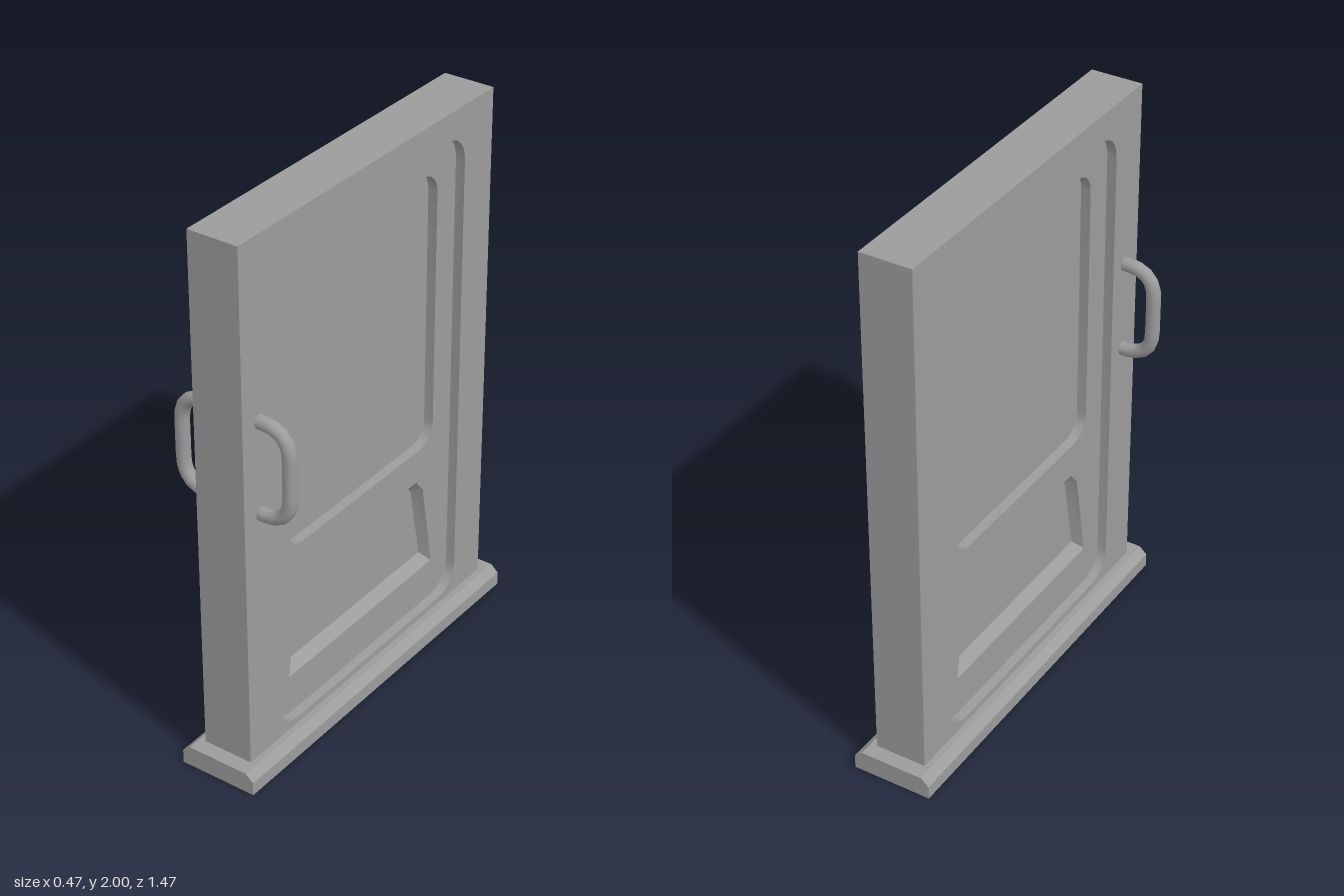
import * as THREE from 'three';
import { toCreasedNormals } from 'three/addons/utils/BufferGeometryUtils.js';

const material = new THREE.MeshStandardMaterial({ color: 0x9c9c9c });
const HALF = 0.095;   // half thickness of the frame
const PANEL = 0.06;   // panel surface
const GLASS = 0.024;  // window and lower recess surface
const v = (x, y) => new THREE.Vector2(x, y);

// Counter-clockwise rounded rectangle, symmetric about x = 0
function roundedRect(w, y0, y1, r, steps = 6) {
  const pts = [];
  const corners = [[w - r, y0 + r, -1], [w - r, y1 - r, 0], [r - w, y1 - r, 1], [r - w, y0 + r, 2]];
  for (const [cx, cy, q] of corners) {
    for (let i = 0; i <= steps; i++) {
      const a = (q + i / steps) * Math.PI / 2;
      pts.push(v(cx + r * Math.cos(a), cy + r * Math.sin(a)));
    }
  }
  return pts;
}

// Mirror the right half of an outline, listed from bottom to top
const mirrored = (half) => [...half, ...half.slice().reverse().map((p) => v(-p.x, p.y))];

// Flat face at depth z with optional openings
function face(name, outline, z, holes = []) {
  const shape = new THREE.Shape(outline);
  shape.holes = holes.map((h) => new THREE.Path(h));
  const mesh = new THREE.Mesh(new THREE.ShapeGeometry(shape).translate(0, 0, z), material);
  mesh.name = name;
  return mesh;
}

// Wall joining outline a at depth za to outline b at depth zb
function wall(name, a, za, b, zb) {
  const pos = [];
  a.forEach((p, i) => {
    const j = (i + 1) % a.length;
    const a0 = [p.x, p.y, za], a1 = [a[j].x, a[j].y, za];
    const b0 = [b[i].x, b[i].y, zb], b1 = [b[j].x, b[j].y, zb];
    pos.push(...a0, ...a1, ...b1, ...a0, ...b1, ...b0);
  });
  const geo = new THREE.BufferGeometry();
  geo.setAttribute('position', new THREE.Float32BufferAttribute(pos, 3));
  geo.computeVertexNormals();
  const mesh = new THREE.Mesh(toCreasedNormals(geo, 0.5), material);
  mesh.name = name;
  return mesh;
}

export function createModel() {
  const model = new THREE.Group();
  model.name = 'door';

  const frame = [v(-0.679, 0.075), v(0.679, 0.075), v(0.679, 2), v(-0.679, 2)];
  const opening = roundedRect(0.52, 0.1, 1.902, 0.1);
  const windowLine = roundedRect(0.415, 0.757, 1.798, 0.08);
  const recessRim = mirrored([v(0.42, 0.25), v(0.361, 0.582), v(0.32, 0.633)]);
  const recessFloor = mirrored([v(0.394, 0.284), v(0.338, 0.573), v(0.314, 0.599)]);

  // Outer edges of the door frame
  const edges = wall('frameEdges', frame, -HALF, frame, HALF);
  edges.rotation.y = Math.PI / 2;
  model.add(edges);

  for (const s of [1, -1]) {
    // Stepped door face, the same on both sides
    const side = new THREE.Group();
    side.name = s > 0 ? 'leftFace' : 'rightFace';
    side.add(
      face('frameFace', frame, HALF, [opening]),
      wall('frameStep', opening, HALF, opening, PANEL),
      face('panel', opening, PANEL, [windowLine, recessRim]),
      wall('windowStep', windowLine, PANEL, windowLine, GLASS),
      face('windowPane', windowLine, GLASS),
      wall('recessBevel', recessRim, PANEL, recessFloor, GLASS),
      face('recessFloor', recessFloor, GLASS),
    );
    side.rotation.y = s * Math.PI / 2;
    model.add(side);

    // Bent tube handle
    const p = (x, y) => new THREE.Vector3(s * x, y, 0.595);
    const path = new THREE.CurvePath();
    path.add(new THREE.LineCurve3(p(0.085, 1.022), p(0.111, 1.022)));
    path.add(new THREE.QuadraticBezierCurve3(p(0.111, 1.022), p(0.211, 1.022), p(0.211, 1.122)));
    path.add(new THREE.LineCurve3(p(0.211, 1.122), p(0.211, 1.26)));
    path.add(new THREE.QuadraticBezierCurve3(p(0.211, 1.26), p(0.211, 1.36), p(0.111, 1.36)));
    path.add(new THREE.LineCurve3(p(0.111, 1.36), p(0.085, 1.36)));
    const handle = new THREE.Mesh(new THREE.TubeGeometry(path, 16, 0.025, 12), material);
    handle.name = s > 0 ? 'leftHandle' : 'rightHandle';
    model.add(handle);
  }

  // Threshold with bevelled long edges
  const profile = new THREE.Shape(mirrored([v(0.147, 0), v(0.147, 0.05), v(0.118, 0.076)]));
  const sill = new THREE.ExtrudeGeometry(profile, { depth: 1.47, bevelEnabled: false });
  const threshold = new THREE.Mesh(sill.translate(0, 0, -0.735), material);
  threshold.name = 'threshold';
  model.add(threshold);

  return model;
}
